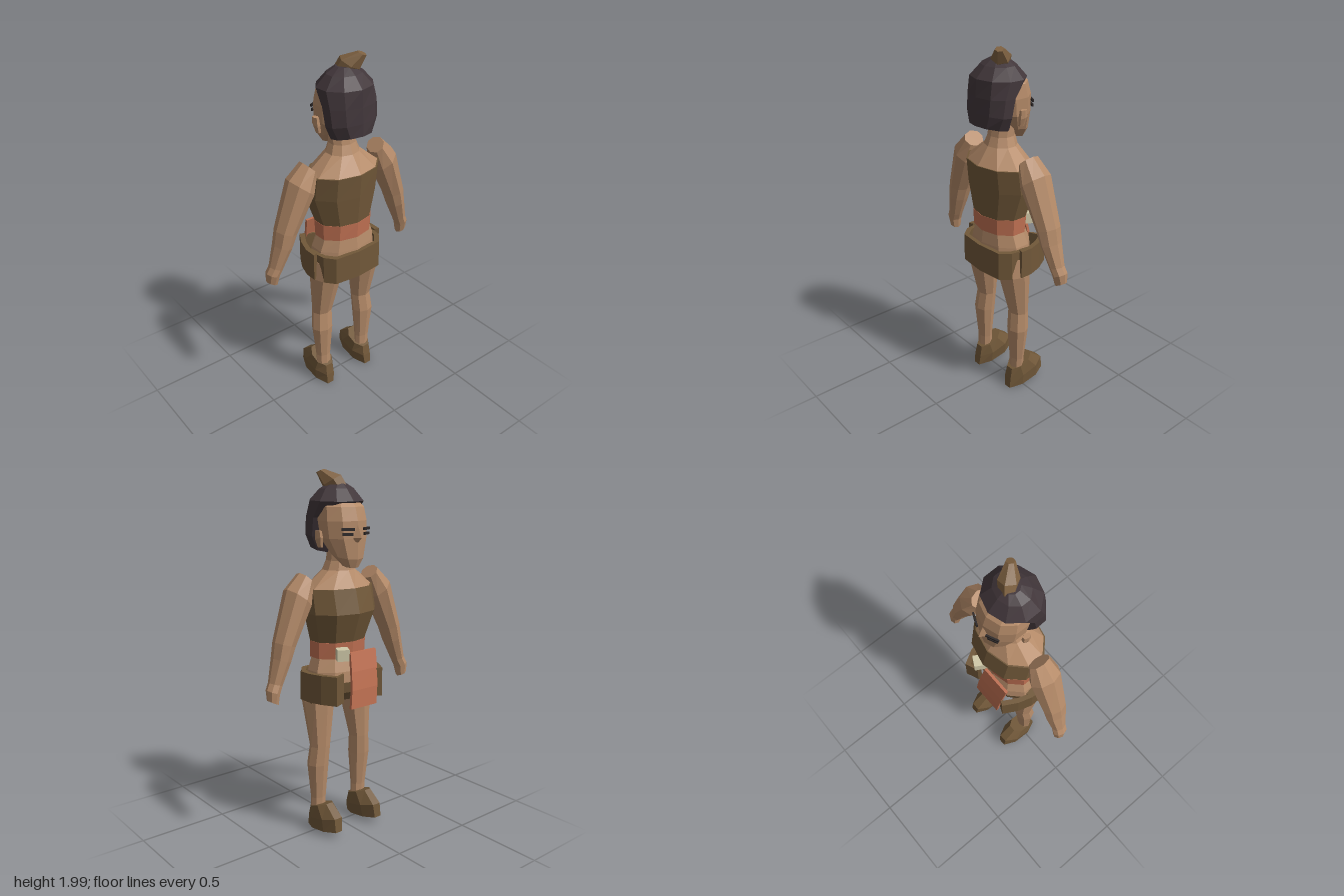
import * as THREE from 'three';

const mat = (name, color) => Object.assign(new THREE.MeshStandardMaterial({ color }), { name });

export function createModel() {
  const skin = mat('skin', 0xb58b69), leather = mat('leather', 0x715839), clay = mat('clayCloth', 0xbf7052);
  const hairMat = mat('hair', 0x41363a), bone = mat('bone', 0xd0c9a8), dark = mat('dark', 0x2b2626);
  const wood = mat('knotLeather', 0x7d6040);
  const model = new THREE.Group();
  model.name = 'figure';

  const add = (name, geo, material) => {
    const g = geo.index ? geo.toNonIndexed() : geo;
    g.computeVertexNormals(); // unshared corners give flat facets
    const mesh = new THREE.Mesh(g, material);
    mesh.name = name;
    model.add(mesh);
    return mesh;
  };

  // Loft through rings [x, y, z, rx, rz, slopeX, slopeZ], closed at both ends
  const loft = (rings, n = 8, turn = 0) => {
    const list = rings[0][1] > rings[rings.length - 1][1] ? [...rings].reverse() : rings;
    const pts = list.map(([x, y, z, rx, rz, sx = 0, sz = 0]) => Array.from({ length: n }, (_, i) => {
      const a = ((i + turn) / n) * Math.PI * 2;
      const dx = Math.cos(a) * rx, dz = Math.sin(a) * rz;
      return [x + dx, y + sx * dx + sz * dz, z + dz];
    }));
    const out = [];
    const last = list.length - 1;
    for (let i = 0; i < n; i++) {
      const j = (i + 1) % n;
      for (let k = 0; k < last; k++) {
        const a = pts[k], b = pts[k + 1];
        out.push(...a[i], ...b[i], ...a[j], ...a[j], ...b[i], ...b[j]);
      }
      out.push(...list[0].slice(0, 3), ...pts[0][i], ...pts[0][j]);
      out.push(...list[last].slice(0, 3), ...pts[last][j], ...pts[last][i]);
    }
    const g = new THREE.BufferGeometry();
    g.setAttribute('position', new THREE.Float32BufferAttribute(out, 3));
    return g;
  };

  // Trunk
  add('neckAndShoulders', loft([
    [0, 1.39, 0.022, 0.205, 0.145], [0, 1.48, 0.015, 0.095, 0.085],
    [0, 1.53, 0.01, 0.075, 0.07], [0, 1.62, 0, 0.075, 0.065]], 10, 0.5), skin);
  add('vest', loft([
    [0, 1.1, 0.02, 0.17, 0.128], [0, 1.26, 0, 0.218, 0.163], [0, 1.39, 0.022, 0.216, 0.151]], 10, 0.5), leather);
  add('belt', loft([[0, 1.01, 0.022, 0.17, 0.124], [0, 1.1, 0.02, 0.172, 0.13]], 10, 0.5), clay);
  add('hips', loft([[0, 0.88, 0.015, 0.2, 0.14], [0, 0.94, 0.015, 0.19, 0.135], [0, 1.01, 0.022, 0.163, 0.118]], 10, 0.5), skin);
  add('shorts', loft([[0, 0.77, 0.02, 0.12, 0.1], [0, 0.82, 0.015, 0.19, 0.13], [0, 0.88, 0.015, 0.2, 0.14]], 10, 0.5), leather);

  // Skirt: a back wrap and two front flaps, each a thin wall
  const wall = (name, outline, top, height) => {
    const inner = outline.map(([x, z]) => [x * 0.88, z * 0.86]).reverse();
    const shape = new THREE.Shape([...outline, ...inner].map(([x, z]) => new THREE.Vector2(x, z)));
    const g = new THREE.ExtrudeGeometry(shape, { depth: height, bevelEnabled: false });
    add(name, g.rotateX(Math.PI / 2).translate(0, top, 0), leather);
  };
  wall('skirtBack', [[0.215, -0.02], [0.195, 0.1], [0.15, 0.155], [0, 0.17], [-0.15, 0.155], [-0.195, 0.1], [-0.215, -0.02]], 0.93, 0.16);

  for (const s of [1, -1]) {
    const side = s > 0 ? 'left' : 'right';
    const flip = (rings) => rings.map(([x, y, z, rx, rz, sx = 0, sz = 0]) => [s * x, y, z, rx, rz, s * sx, sz]);

    wall(side + 'SkirtFlap', [[0.23, 0.06], [0.23, -0.01], [0.205, -0.09], [0.16, -0.17], [0.09, -0.14]].map(([x, z]) => [s * x, z]), 0.94, 0.16);

    add(side + 'Arm', loft(flip([
      [0.222, 1.445, 0.018, 0.034, 0.06, 1], [0.275, 1.35, 0.015, 0.064, 0.088, 0.8],
      [0.37, 1.12, 0.008, 0.056, 0.068, 0.3], [0.393, 1.04, 0.006, 0.047, 0.062, 0.3],
      [0.435, 0.92, 0, 0.036, 0.042, 0.3], [0.455, 0.88, -0.005, 0.035, 0.042, 0.4],
      [0.46, 0.825, -0.01, 0.03, 0.032, 0.5]])), skin);

    add(side + 'Leg', loft(flip([
      [0.13, 0.88, 0.03, 0.085, 0.09], [0.132, 0.77, 0.033, 0.093, 0.088],
      [0.142, 0.51, 0.005, 0.06, 0.052], [0.15, 0.4, 0.015, 0.063, 0.056],
      [0.147, 0.2, 0.017, 0.046, 0.037], [0.145, 0.08, 0.02, 0.045, 0.036]])), skin);

    add(side + 'Shoe', loft(flip([
      [0.145, 0.025, -0.04, 0.058, 0.137, 0, -0.15], [0.142, 0.095, -0.038, 0.067, 0.128, 0, -0.22],
      [0.142, 0.158, -0.005, 0.056, 0.078, 0, -0.36]]), 8, 0.5), leather);

    // Ears and eye marks
    add(side + 'Ear', loft(flip([
      [0.138, 1.605, -0.005, 0.014, 0.016], [0.148, 1.65, -0.008, 0.018, 0.026, 0, -0.2],
      [0.152, 1.69, -0.008, 0.014, 0.022]]), 6), skin);
    for (const [name, y, w, z] of [['Brow', 1.7, 0.068, -0.139], ['Eye', 1.675, 0.055, -0.138]]) {
      const mark = add(side + name, new THREE.BoxGeometry(w, 0.014, 0.009), dark);
      mark.position.set(s * 0.062, y, z);
      mark.rotation.y = s * -0.42;
    }
  }

  // Head and nose
  add('head', loft([
    [0, 1.505, -0.085, 0.045, 0.04, 0, 0.2], [0, 1.56, -0.058, 0.088, 0.085, 0, 0.2],
    [0, 1.65, -0.025, 0.13, 0.12], [0, 1.74, -0.015, 0.138, 0.128],
    [0, 1.81, -0.005, 0.13, 0.118], [0, 1.86, 0.01, 0.09, 0.08]], 10, 0.5), skin);
  add('nose', loft([
    [0, 1.63, -0.13, 0.02, 0.015], [0, 1.655, -0.14, 0.026, 0.033], [0, 1.725, -0.13, 0.012, 0.012]], 4), skin);

  // Hair bob, rising to a cap above the forehead
  add('hair', loft([
    [0, 1.588, 0.088, 0.115, 0.095, 0, 0.22], [0, 1.66, 0.088, 0.15, 0.092, 0, 0.15],
    [0, 1.755, 0.073, 0.155, 0.102], [0, 1.84, 0.03, 0.153, 0.14, 0, 0.03],
    [0, 1.9, 0.03, 0.1, 0.085], [0, 1.93, 0.025, 0.045, 0.045]], 10, 0.5), hairMat);
  add('topknot', loft([
    [0.005, 1.895, 0.01, 0.045, 0.045, -0.4, -0.4], [0.028, 1.94, 0.035, 0.052, 0.052, -0.4, -0.4],
    [0.07, 1.99, 0.08, 0.022, 0.022, -0.3, -0.3]], 6), wood);

  // Hanging cloth, bowed outward and leaning sideways
  const cloth = new THREE.BoxGeometry(0.18, 0.3, 0.016, 1, 3, 1);
  const p = cloth.attributes.position;
  for (let i = 0; i < p.count; i++) {
    const t = 0.5 - p.getY(i) / 0.3;
    const x = p.getX(i) - 0.055 + 0.03 * t;
    p.setXYZ(i, x, 1.045 - 0.3 * t, p.getZ(i) - 0.122 - 0.09 * t + 0.045 * t * t);
  }
  add('frontCloth', cloth, clay);

  // Belt charm
  const charm = add('beltCharm', new THREE.BoxGeometry(0.065, 0.062, 0.07), bone);
  charm.position.set(0.085, 1.045, -0.122);
  charm.rotation.y = -0.5;

  return model;
}
